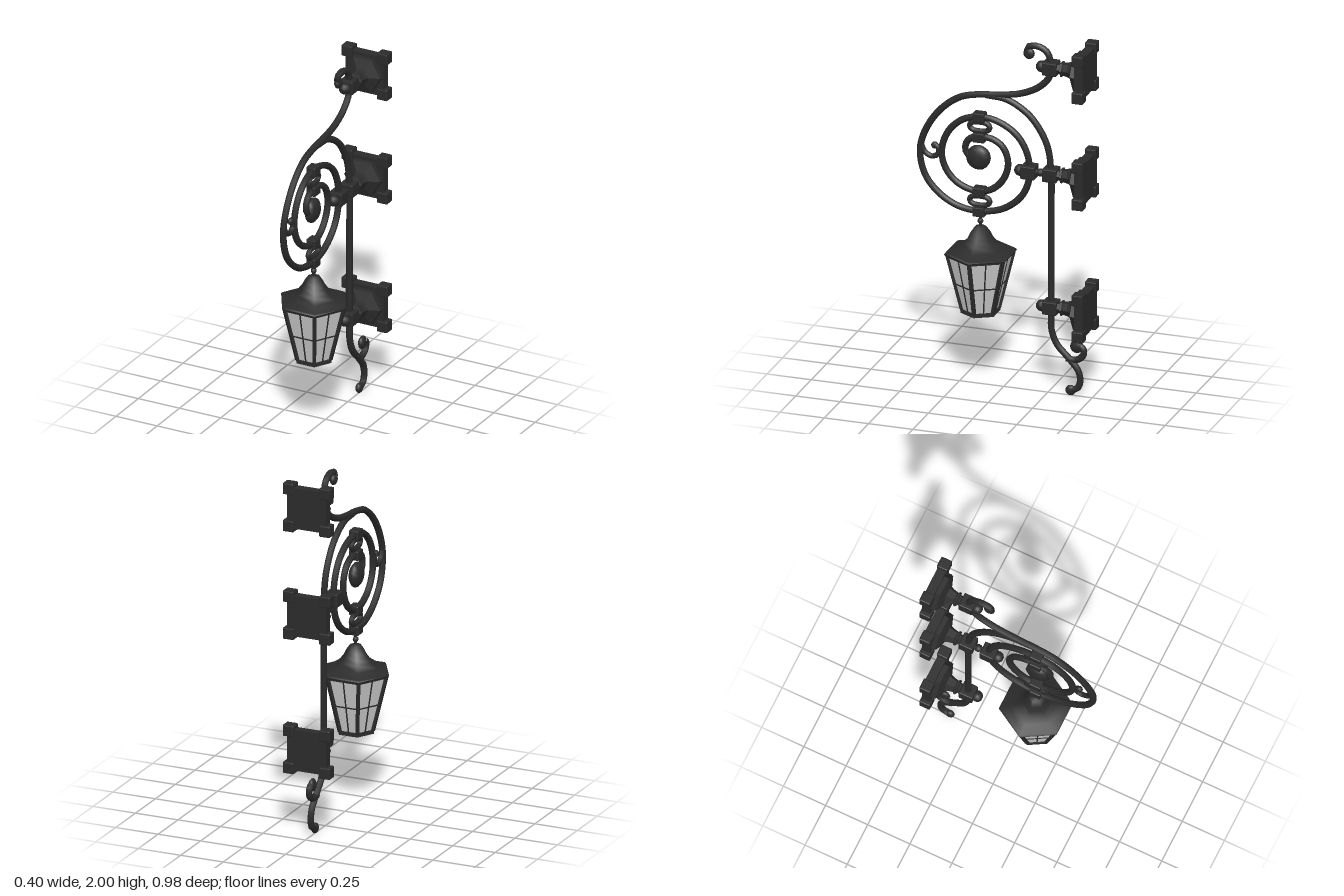
import * as THREE from 'three';
import { RoundedBoxGeometry } from 'three/addons/geometries/RoundedBoxGeometry.js';

const iron = new THREE.MeshStandardMaterial({ color: 0x2b2b2b });
const ironFlat = new THREE.MeshStandardMaterial({ color: 0x2b2b2b, flatShading: true });
const glass = new THREE.MeshStandardMaterial({ color: 0xcccccc, flatShading: true, side: THREE.DoubleSide });

const STEM_Z = -0.268, LAMP_Z = 0.132;

function add(parent, name, geometry, material, x = 0, y = 0, z = 0) {
  const mesh = new THREE.Mesh(geometry, material);
  mesh.name = name;
  mesh.position.set(x, y, z);
  parent.add(mesh);
  return mesh;
}

const block = (parent, name, w, h, d, x, y, z) =>
  add(parent, name, new RoundedBoxGeometry(w, h, d, 1, 0.006), ironFlat, x, y, z);

// Ball, optionally flattened sideways
function ball(parent, name, r, y, z, flatten = 1) {
  add(parent, name, new THREE.SphereGeometry(r, 10, 8), iron, 0, y, z).scale.x = flatten;
}

// Round bar bent in the x = 0 plane through [z, y] points
function bar(parent, name, points, segments, r = 0.0185, closed = false) {
  const curve = new THREE.CatmullRomCurve3(points.map(([z, y]) => new THREE.Vector3(0, y, z)), closed);
  return add(parent, name, new THREE.TubeGeometry(curve, segments, r, 8, closed), iron);
}

// Six-sided turned shape with corners on the x axis; profile runs bottom to top
const hexLathe = (profile) =>
  new THREE.LatheGeometry(profile.map(([r, y]) => new THREE.Vector2(r, y)), 6, Math.PI / 2);

// Straight square bar between two points of a parent that is not yet moved
function strut(parent, name, a, b, w) {
  const mesh = add(parent, name, new THREE.BoxGeometry(w, w, a.distanceTo(b)), ironFlat);
  mesh.position.copy(a).add(b).multiplyScalar(0.5);
  mesh.lookAt(b);
}

function wallMount(y) {
  const g = new THREE.Group();
  g.name = 'wallMount';
  g.position.y = y;
  add(g, 'wallPlate', new THREE.BoxGeometry(0.23, 0.23, 0.05), ironFlat, 0, 0, -0.462);
  for (const sx of [-1, 1]) for (const sy of [-1, 1])
    block(g, 'cornerStud', 0.064, 0.064, 0.063, sx * 0.107, sy * 0.105, -0.4615);
  const flange = hexLathe([[0.11, -0.44], [0.11, -0.41], [0.05, -0.388], [0.042, -0.37],
    [0.036, -0.342], [0.043, -0.337], [0.043, -0.327], [0.03, -0.322], [0.03, -0.3]]);
  add(g, 'flange', flange, ironFlat).rotation.x = Math.PI / 2;
  block(g, 'stemClamp', 0.08, 0.075, 0.08, 0, 0, STEM_Z);
  return g;
}

function lantern() {
  const g = new THREE.Group();
  g.name = 'lantern';
  // Flared roof with closed underside
  add(g, 'roof', hexLathe([[0.198, 0.757], [0.19, 0.765], [0.13, 0.785], [0.092, 0.812], [0.07, 0.84],
    [0.055, 0.87], [0.032, 0.903], [0, 0.91]]), iron);
  add(g, 'eave', hexLathe([[0, 0.747], [0.193, 0.747], [0.198, 0.757]]), ironFlat);
  add(g, 'base', hexLathe([[0, 0.415], [0.108, 0.415], [0.108, 0.437], [0, 0.437]]), ironFlat);
  // Tapered panes
  const top = 0.75, bottom = 0.432, rTop = 0.18, rBottom = 0.1;
  add(g, 'panes', hexLathe([[rBottom, bottom], [rTop, top]]), glass);
  const at = (k, t) => {
    const r = rBottom + (rTop - rBottom) * t, a = k * Math.PI / 3;
    return new THREE.Vector3(r * Math.cos(a), bottom + (top - bottom) * t, r * Math.sin(a));
  };
  const mid = (k, t) => at(k, t).lerp(at(k + 1, t), 0.5);
  for (let k = 0; k < 6; k++) {
    strut(g, 'cornerPost', at(k, 0), at(k, 1), 0.02);
    strut(g, 'topRail', at(k, 0.985), at(k + 1, 0.985), 0.012);
    strut(g, 'glazingBar', mid(k, 0), mid(k, 1), 0.007);
    strut(g, 'crossBar', at(k, 0.48), at(k + 1, 0.48), 0.007);
  }
  // Hanger
  add(g, 'hanger', new THREE.CylinderGeometry(0.009, 0.009, 0.09, 8), iron, 0, 0.94, 0);
  ball(g, 'hangerBead', 0.016, 0.935, 0);
  g.position.z = LAMP_Z;
  return g;
}

export function createModel() {
  const model = new THREE.Group();
  model.name = 'wallLantern';

  // Mounts; the outer two carry a ball in front of the clamp
  for (const y of [1.865, 1.255, 0.495]) model.add(wallMount(y));
  for (const y of [1.865, 0.495]) ball(model, 'clampBall', 0.032, y, -0.215);

  // Middle tie between stem and spiral
  add(model, 'tieRod', new THREE.CylinderGeometry(0.016, 0.016, 0.14, 8), iron, 0, 1.255, -0.2).rotation.x = Math.PI / 2;
  ball(model, 'tieBead', 0.022, 1.255, -0.208);
  block(model, 'tieClamp', 0.08, 0.075, 0.08, 0, 1.255, -0.145);
  ball(model, 'tieBall', 0.032, 1.255, -0.092);

  // Top hook running on into the spiral
  bar(model, 'spiral', [
    [-0.143, 1.935], [-0.128, 1.96], [-0.185, 1.978], [-0.245, 1.95], [-0.267, 1.88], [-0.258, 1.81],
    [-0.2, 1.745], [-0.1, 1.695], [0.03, 1.67], [0.14, 1.658], [0.245, 1.63], [0.345, 1.557],
    [0.425, 1.45], [0.469, 1.335], [0.469, 1.24], [0.435, 1.143], [0.36, 1.06], [0.26, 1.005],
    [0.138, 0.99], [0.005, 1.02], [-0.1, 1.105], [-0.143, 1.21], [-0.135, 1.345], [-0.075, 1.45],
    [0.03, 1.515], [0.138, 1.53], [0.233, 1.502], [0.313, 1.425], [0.35, 1.318], [0.334, 1.223],
    [0.27, 1.143], [0.165, 1.103], [0.074, 1.12], [0.005, 1.185], [-0.025, 1.28], [0.003, 1.37],
    [0.066, 1.412], [0.138, 1.415], [0.19, 1.4], [0.217, 1.355], [0.207, 1.31], [0.16, 1.295],
  ], 180);
  ball(model, 'hookTip', 0.032, 1.93, -0.143, 0.6);
  ball(model, 'spiralBoss', 0.07, 1.297, 0.143, 0.5);

  // Stem rising into the arch, ending in the lower scroll
  bar(model, 'stem', [
    [0.1, 1.66], [-0.02, 1.648], [-0.138, 1.58], [-0.207, 1.495], [-0.25, 1.4], [-0.268, 1.255],
    [-0.268, 1], [-0.268, 0.7], [-0.268, 0.45], [-0.27, 0.365], [-0.3, 0.285], [-0.37, 0.21],
    [-0.422, 0.145], [-0.432, 0.085], [-0.415, 0.045], [-0.38, 0.032],
  ], 90);
  ball(model, 'stemTip', 0.029, 0.031, -0.378, 0.65);
  bar(model, 'lowerCurl', [[-0.355, 0.21], [-0.41, 0.208], [-0.447, 0.235], [-0.452, 0.27], [-0.43, 0.292]], 20);
  ball(model, 'lowerCurlTip', 0.037, 0.285, -0.412, 0.5);

  // Small curl inside the outer turn
  bar(model, 'sideCurl', [[0.467, 1.335], [0.445, 1.29], [0.405, 1.27], [0.37, 1.29], [0.372, 1.325], [0.388, 1.338]], 24, 0.015);
  ball(model, 'sideCurlTip', 0.02, 1.335, 0.39, 0.8);

  // Clamps joined by oval links between the turns
  for (const y of [1.53, 1.415, 1.103, 0.99]) block(model, 'turnClamp', 0.056, 0.054, 0.066, 0, y, 0.136);
  for (const y of [1.474, 1.05]) {
    const oval = [[0.058, 0], [0.042, 0.02], [0, 0.025], [-0.042, 0.02], [-0.058, 0], [-0.042, -0.02], [0, -0.025], [0.042, -0.02]];
    bar(model, 'ovalLink', oval.map(([z, dy]) => [z + 0.136, y + dy]), 24, 0.015, true);
  }

  model.add(lantern());
  return model;
}
